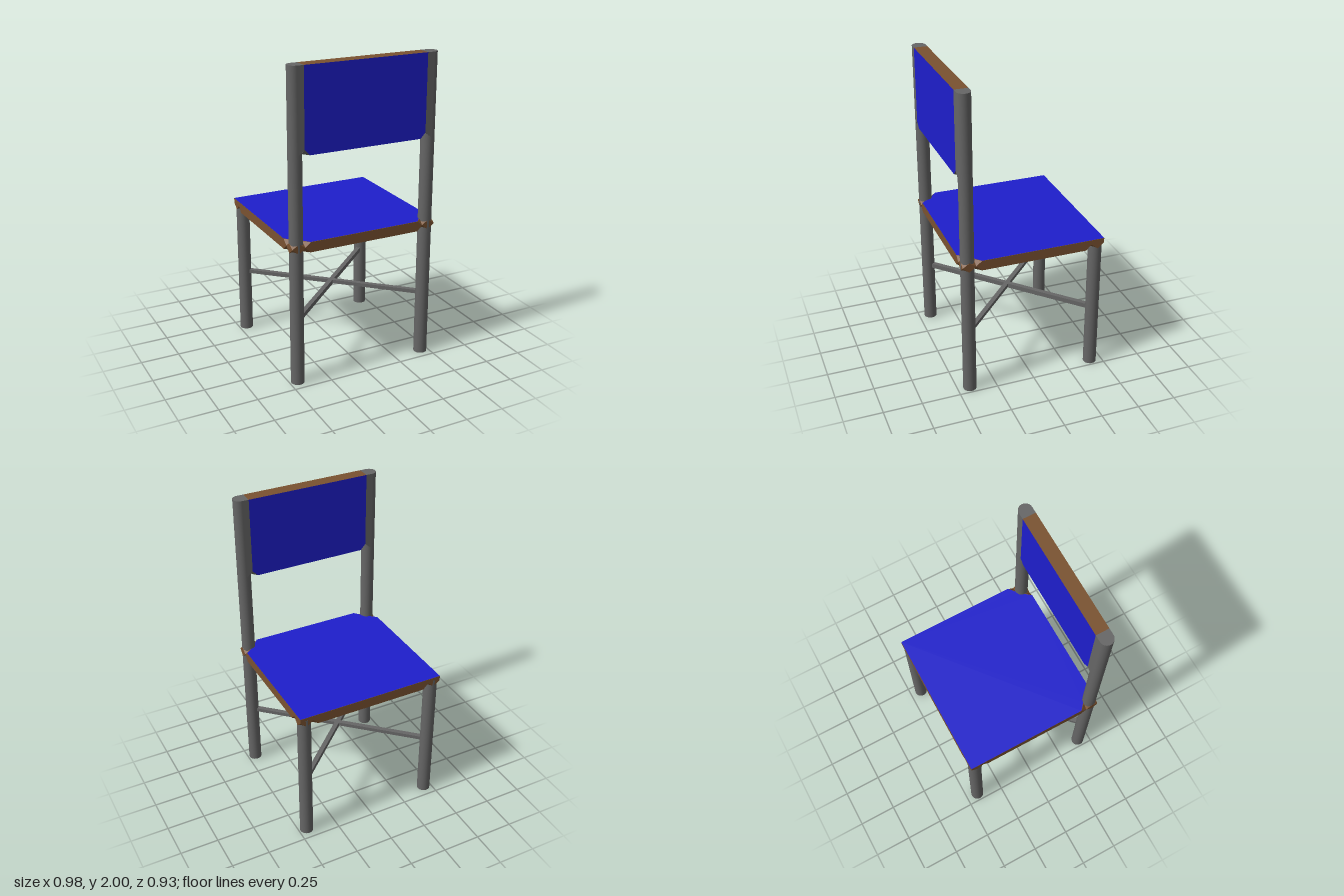
import * as THREE from 'three';
import { ConvexGeometry } from 'three/addons/geometries/ConvexGeometry.js';

const grey = new THREE.MeshStandardMaterial({ color: 0x666666 });
const brown = new THREE.MeshStandardMaterial({ color: 0x7a5230 });
const blue = new THREE.MeshStandardMaterial({ color: 0x1e1ecc });

// Main dimensions
const W = 0.49, D = 0.462;           // half width and half depth
const LX = 0.447, LZ = 0.42, R = 0.043; // leg centres and radius
const Y0 = 0.875, YM = 0.91, Y1 = 0.94; // seat bottom, ridge, top
const CX = 0.37, CZ = 0.34;          // where the corner cuts start
const BX = 0.404, BZ = 0.377;        // where the corner ridges start
const PB = 1.476, PN = 1.512;        // backrest bottom and notch height

export function createModel() {
  const model = new THREE.Group();
  const add = (name, geometry, material, x = 0, y = 0, z = 0) => {
    const mesh = new THREE.Mesh(geometry, material);
    mesh.name = name;
    mesh.position.set(x, y, z);
    model.add(mesh);
    return mesh;
  };
  const hull = (pts) => new ConvexGeometry(pts.map((p) => new THREE.Vector3(...p)));
  const both = [-1, 1];

  // Legs; the pair at +z continues up as back posts
  for (const sx of both) {
    for (const sz of both) {
      const h = sz > 0 ? 2 : 0.92;
      const name = sz > 0 ? 'backPost' : 'frontLeg';
      add(name, new THREE.CylinderGeometry(R, R, h, 24), grey, sx * LX, h / 2, sz * LZ);
    }
  }

  // Seat slab with bevelled corner cuts
  const slab = [];
  for (const sx of both) for (const sz of both) {
    for (const y of [Y0, Y1]) slab.push([sx * CX, y, sz * D], [sx * W, y, sz * CZ]);
    slab.push([sx * BX, YM, sz * D], [sx * W, YM, sz * BZ]);
  }
  add('seat', hull(slab), brown);

  // Faceted collars where the legs meet the seat
  for (const sx of both) for (const sz of both) {
    const collar = [[BX, YM, D], [W, YM, D], [W, YM, BZ], [BX, YM, BZ]];
    for (const y of [Y0, Y1]) {
      collar.push([LX, y, D], [W, y, LZ], [LX, y, BZ], [BX, y, LZ]);
    }
    add('seatCorner', hull(collar.map(([x, y, z]) => [sx * x, y, sz * z])), brown);
    // Square upper corners over the short legs
    if (sz < 0) {
      const cap = [[CX, Y1, D], [W, Y1, D], [W, Y1, CZ], [BX, YM, D], [W, YM, D], [W, YM, BZ]];
      add('seatCornerCap', hull(cap.map(([x, y, z]) => [sx * x, y, -z])), brown);
    }
  }

  // Blue seat covering, cut around the back posts
  const cover = new THREE.Shape([
    [-W, D], [W, D], [W, -CZ], [LX, -BZ], [BX, -LZ], [CX, -D],
    [-CX, -D], [-BX, -LZ], [-LX, -BZ], [-W, -CZ],
  ].map((p) => new THREE.Vector2(...p)));
  add('seatCover', new THREE.ShapeGeometry(cover), blue, 0, Y1 + 0.0015).rotation.x = -Math.PI / 2;

  // Backrest panel with notched lower corners
  const panel = new THREE.Shape([
    [-CX, PB], [CX, PB], [BX, PN], [BX, 2], [-BX, 2], [-BX, PN],
  ].map((p) => new THREE.Vector2(...p)));
  add('backrest', new THREE.ExtrudeGeometry(panel, { depth: 2 * R, bevelEnabled: false }),
    [blue, brown], 0, 0, LZ - R);
  const base = new THREE.PlaneGeometry(2 * CX, 2 * R).rotateX(Math.PI / 2);
  add('backrestUnderside', base, grey, 0, PB - 0.001, LZ);

  // Flat post sides joining the backrest, and the facets in its notches
  for (const sx of both) {
    const strip = [];
    const facet = [[sx * BX, PB, LZ]];
    for (const z of [LZ - R, LZ + R]) {
      strip.push([sx * BX, PN, z], [sx * LX, PB, z], [sx * BX, 2, z], [sx * LX, 2, z]);
      facet.push([sx * CX, PB, z], [sx * BX, PN, z]);
    }
    add('backrestSide', hull(strip), grey);
    add('backrestNotch', hull(facet), grey);
  }

  // Crossed rungs between opposite legs
  const span = 2 * Math.hypot(LX, LZ) - R;
  for (const s of both) {
    const h = s > 0 ? 0.03 : 0.024;
    const rung = add('crossRung', new THREE.BoxGeometry(span, h, 0.03), grey, 0, 0.438 - h / 2, 0);
    rung.rotation.y = s * Math.atan2(LZ, LX);
  }

  return model;
}
